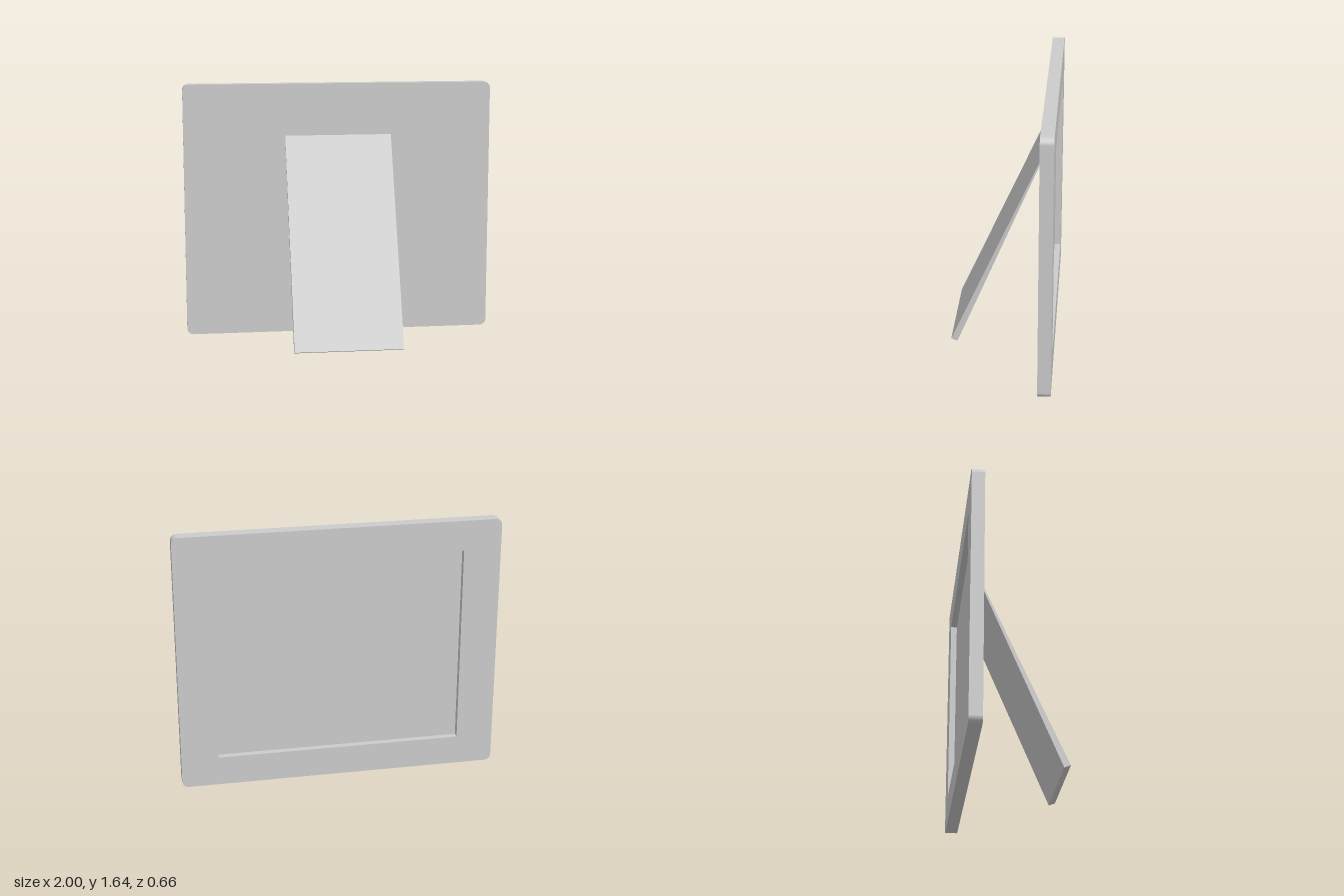
import * as THREE from 'three';

const W = 2, H = 1.64, R = 0.04;        // outer frame
const OW = 1.535, OH = 1.265;           // opening
const BACK = -0.33, FRONT = -0.25, FLOOR = -0.29;

const material = new THREE.MeshStandardMaterial({ color: 0xcccccc });

function addMesh(group, name, geometry) {
  const mesh = new THREE.Mesh(geometry, material);
  mesh.name = name;
  group.add(mesh);
  return mesh;
}

// Rectangle with rounded corners, centred on the origin
function roundedRect(w, h, r) {
  const x = w / 2 - r, y = h / 2 - r, q = Math.PI / 2;
  const shape = new THREE.Shape();
  shape.absarc(x, y, r, 0, q);
  shape.absarc(-x, y, r, q, 2 * q);
  shape.absarc(-x, -y, r, 2 * q, 3 * q);
  shape.absarc(x, -y, r, 3 * q, 4 * q);
  return shape;
}

export function createModel() {
  const group = new THREE.Group();
  group.name = 'pictureFrame';

  // Border with a rectangular opening
  const border = roundedRect(W, H, R);
  const a = OW / 2, b = OH / 2;
  border.holes.push(new THREE.Path([[-a, -b], [-a, b], [a, b], [a, -b]].map(p => new THREE.Vector2(...p))));
  addMesh(group, 'border', new THREE.ExtrudeGeometry(border, {
    depth: FRONT - BACK, bevelEnabled: false, curveSegments: 8,
  })).position.set(0, H / 2, BACK);

  // Panel filling the opening, recessed on the picture side
  addMesh(group, 'picturePanel', new THREE.BoxGeometry(OW, OH, FRONT - FLOOR))
    .position.set(0, H / 2, (FRONT + FLOOR) / 2);

  // Tapered easel leg: side profile as [z, y], extruded across x
  const profile = [[0.33, 0.02], [0.29, 0.005], [-0.25, 1.285], [-0.25, 1.305]];
  const leg = new THREE.ExtrudeGeometry(
    new THREE.Shape(profile.map(([z, y]) => new THREE.Vector2(-z, y))),
    { depth: 0.69, bevelEnabled: false });
  leg.rotateY(Math.PI / 2);
  addMesh(group, 'easelLeg', leg).position.x = -0.345;

  return group;
}
